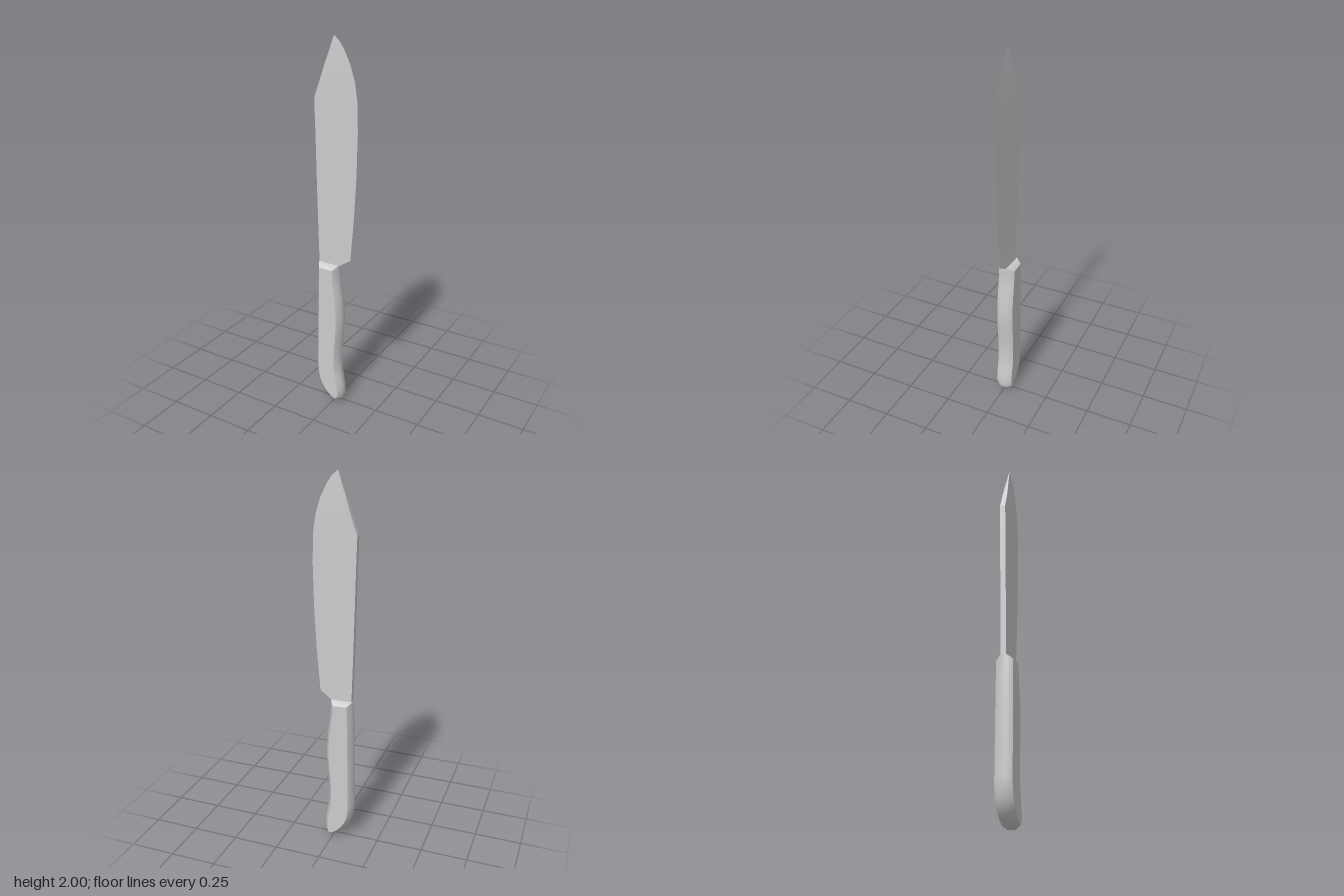
import * as THREE from 'three';
import { toCreasedNormals } from 'three/addons/utils/BufferGeometryUtils.js';

// Wedge blade: each row gives the spine (x, y, half thickness) and the edge (x, y, half thickness)
function bladeGeometry() {
  const rows = [
    [-0.097, 0.80, 0.015, 0.005, 0.82, 0.008],
    [-0.097, 0.86, 0.015, 0.081, 0.868, 0],
    [-0.104, 1.10, 0.015, 0.100, 1.10, 0],
    [-0.109, 1.32, 0.015, 0.112, 1.32, 0],
    [-0.114, 1.55, 0.015, 0.117, 1.55, 0],
    [-0.118, 1.70, 0.015, 0.113, 1.70, 0],
    [-0.086, 1.79, 0.0135, 0.099, 1.79, 0],
    [-0.060, 1.87, 0.009, 0.074, 1.87, 0],
    [-0.037, 1.935, 0.0045, 0.042, 1.935, 0],
    [-0.024, 1.975, 0.002, 0.014, 1.975, 0],
    [-0.015, 2.00, 0, -0.015, 2.00, 0],
  ];
  const pos = [];
  const index = [];
  rows.forEach(([sx, sy, st, ex, ey, et], i) => {
    pos.push(sx, sy, st, ex, ey, et, ex, ey, -et, sx, sy, -st);
    if (i === 0) return;
    for (let k = 0; k < 4; k++) {
      const a = (i - 1) * 4 + k;
      const b = (i - 1) * 4 + ((k + 1) % 4);
      index.push(a, b, b + 4, a, b + 4, a + 4);
    }
  });
  index.push(0, 3, 2, 0, 2, 1); // base cap, inside the handle
  const geo = new THREE.BufferGeometry();
  geo.setAttribute('position', new THREE.Float32BufferAttribute(pos, 3));
  geo.setIndex(index);
  return toCreasedNormals(geo, 0.3);
}

// Handle: curved side profile extruded across z with chamfered rims
function handleGeometry() {
  const points = [
    [0.019, 0.74], [0.033, 0.63], [0.040, 0.52], [0.035, 0.42], [0.026, 0.30],
    [0.029, 0.20], [0.042, 0.12], [0.048, 0.065], [0.041, 0.02], [0.010, 0.003],
    [-0.040, 0.032], [-0.088, 0.095], [-0.109, 0.18], [-0.109, 0.30], [-0.105, 0.60],
  ].map(([x, y]) => new THREE.Vector2(x, y));
  const shape = new THREE.Shape();
  shape.moveTo(-0.099, 0.833);
  shape.lineTo(0.016, 0.828);
  shape.splineThru(points);
  shape.closePath();
  const depth = 0.036;
  const geo = new THREE.ExtrudeGeometry(shape, {
    depth, curveSegments: 3, bevelEnabled: true, bevelSegments: 1,
    bevelSize: 0.02, bevelThickness: 0.0275, bevelOffset: -0.02,
  });
  geo.translate(0, 0, -depth / 2);
  return toCreasedNormals(geo, 0.75);
}

export function createModel() {
  const material = new THREE.MeshStandardMaterial({ color: 0xcccccc });
  const group = new THREE.Group();
  group.name = 'knife';

  const blade = new THREE.Mesh(bladeGeometry(), material);
  blade.name = 'blade';

  const handle = new THREE.Mesh(handleGeometry(), material);
  handle.name = 'handle';

  group.add(blade, handle);
  return group;
}
